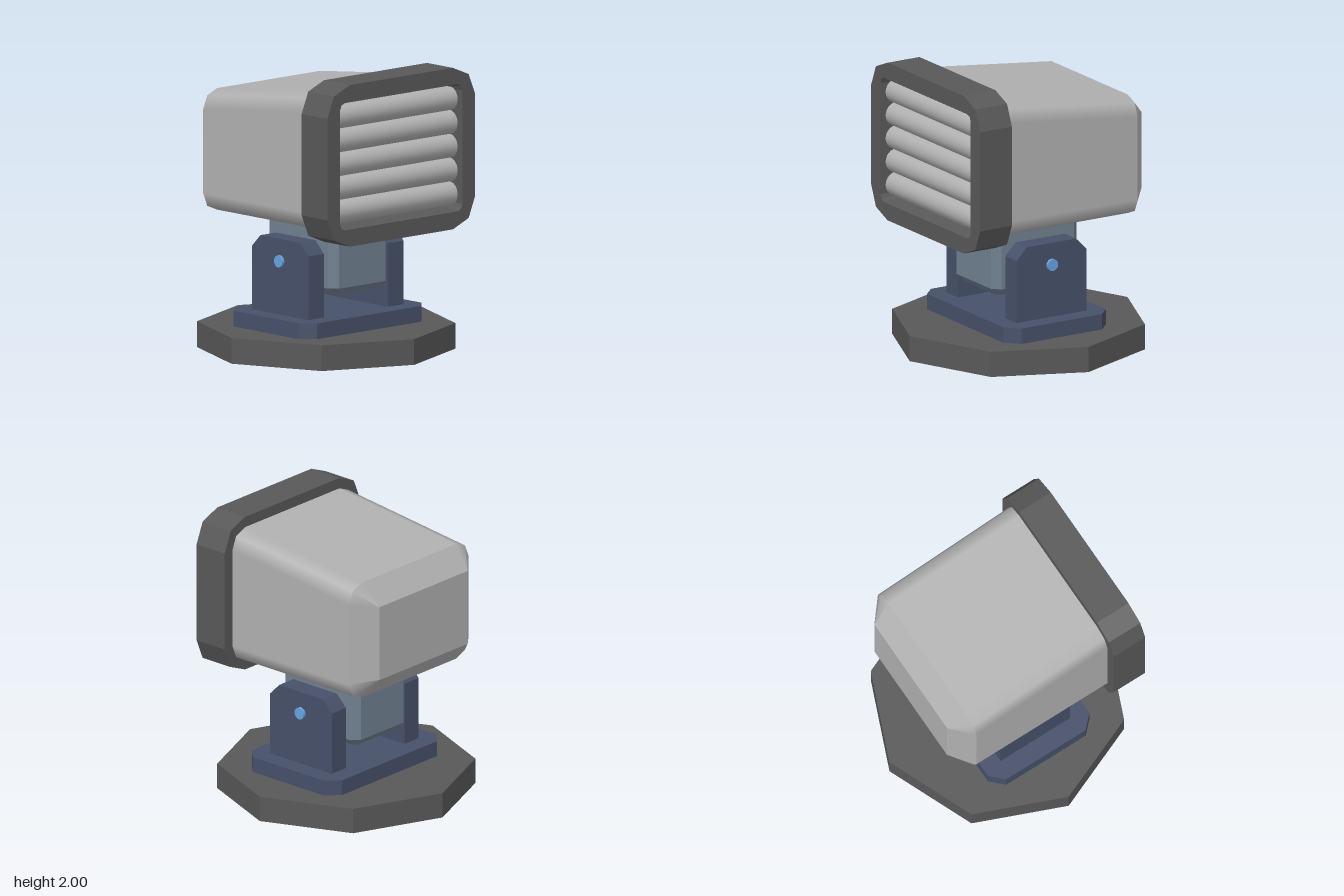
import * as THREE from 'three';

const mat = (name, color) => {
  const m = new THREE.MeshStandardMaterial({ color });
  m.name = name;
  return m;
};

// Rectangle from (x0,y0) to (x1,y1) with cut or rounded corners, counter-clockwise.
// Each point is [x, y, normalX, normalY].
function section(x0, x1, y0, y1, r, segs = 2) {
  const pts = [];
  const corners = [[x1 - r, y1 - r], [x0 + r, y1 - r], [x0 + r, y0 + r], [x1 - r, y0 + r]];
  corners.forEach(([cx, cy], k) => {
    for (let i = 0; i <= segs; i++) {
      const a = (k + i / segs) * Math.PI / 2;
      pts.push([cx + r * Math.cos(a), cy + r * Math.sin(a), Math.cos(a), Math.sin(a)]);
    }
  });
  return pts;
}

// Skin between cross-sections [{ z, pts }]; smooth rounds the corners, rims stay sharp.
function loft(rings, { smooth = false, caps = true } = {}) {
  const pos = [], nor = [];
  const n = rings[0].pts.length;
  for (let s = 0; s < rings.length - 1; s++) {
    const A = rings[s], B = rings[s + 1];
    for (let i = 0; i < n; i++) {
      const j = (i + 1) % n;
      const quad = [[A, i], [A, j], [B, j], [B, i]];
      const v = quad.map(([R, k]) => new THREE.Vector3(R.pts[k][0], R.pts[k][1], R.z));
      const flat = v[2].clone().sub(v[0]).cross(v[3].clone().sub(v[1])).normalize();
      const normals = quad.map(([R, k]) => {
        if (!smooth) return flat;
        const [, , nx, ny] = R.pts[k];
        const dx = B.pts[k][0] - A.pts[k][0], dy = B.pts[k][1] - A.pts[k][1];
        return new THREE.Vector3(nx, ny, -(nx * dx + ny * dy) / (B.z - A.z)).normalize();
      });
      for (const q of [0, 1, 2, 0, 2, 3]) {
        pos.push(...v[q].toArray());
        nor.push(...normals[q].toArray());
      }
    }
  }
  if (caps) {
    [[rings[0], -1], [rings[rings.length - 1], 1]].forEach(([R, dir]) => {
      for (let i = 1; i < n - 1; i++) {
        for (const k of dir > 0 ? [0, i, i + 1] : [0, i + 1, i]) {
          pos.push(R.pts[k][0], R.pts[k][1], R.z);
          nor.push(0, 0, dir);
        }
      }
    });
  }
  const g = new THREE.BufferGeometry();
  g.setAttribute('position', new THREE.Float32BufferAttribute(pos, 3));
  g.setAttribute('normal', new THREE.Float32BufferAttribute(nor, 3));
  return g;
}

export function createModel() {
  const group = new THREE.Group();
  const darkGrey = mat('dark grey', 0x585858);
  const lightGrey = mat('light grey', 0xb0b0b0);
  const slate = mat('slate', 0x708090);
  const navy = mat('navy', 0x465069);
  const blue = mat('blue', 0x66a3e0);

  const add = (name, geometry, material, x = 0, y = 0, z = 0) => {
    const mesh = new THREE.Mesh(geometry, material);
    mesh.name = name;
    mesh.position.set(x, y, z);
    group.add(mesh);
    return mesh;
  };
  const midZ = 0.017; // depth of the pivot

  // Octagonal base
  const base = new THREE.CylinderGeometry(0.89, 0.89, 0.18, 8).toNonIndexed();
  base.computeVertexNormals();
  add('base', base, darkGrey, 0, 0.09, 0);

  // Mounting plate with cut corners
  const plate = section(-0.58, 0.578, -0.418, 0.418, 0.09, 1);
  add('mountPlate', loft([{ z: 0.18, pts: plate }, { z: 0.29, pts: plate }]).rotateX(-Math.PI / 2),
    navy, 0, 0, midZ);

  // Yoke arms with cut top corners, and their pivot pins
  const armShape = new THREE.Shape([
    [-0.285, 0.29], [0.285, 0.29], [0.285, 0.735], [0.2, 0.82], [-0.2, 0.82], [-0.285, 0.735],
  ].map(p => new THREE.Vector2(...p)));
  const arm = new THREE.ExtrudeGeometry(armShape, { depth: 0.145, bevelEnabled: false })
    .translate(0, 0, -0.0725).rotateY(Math.PI / 2);
  const pin = new THREE.CylinderGeometry(0.042, 0.042, 0.22, 16).rotateZ(Math.PI / 2);
  for (const [side, s] of [['left', 1], ['right', -1]]) {
    add(side + 'Arm', arm, navy, s * 0.374, 0, midZ);
    add(side + 'Pin', pin, blue, s * 0.357, 0.665, midZ);
  }

  // Neck block with chamfered edges, reaching up into the housing
  const neck = section(-0.273, 0.273, -0.35, 0.35, 0.054, 1);
  const neckFoot = section(-0.22, 0.22, -0.297, 0.297, 0.03, 1);
  add('neck', loft([
    { z: 0.435, pts: neckFoot }, { z: 0.49, pts: neck }, { z: 1.0, pts: neck },
  ]).rotateX(-Math.PI / 2), slate, 0, 0, midZ);

  // Lamp housing: tapered body with a sloped rear
  add('housing', loft([
    { z: -0.715, pts: section(-0.455, 0.455, 1.105, 1.645, 0.004) },
    { z: -0.58, pts: section(-0.615, 0.615, 0.95, 1.8, 0.13) },
    { z: 0.62, pts: section(-0.615, 0.615, 0.95, 1.938, 0.13) },
  ], { smooth: true }), lightGrey);

  // Front frame with an opening
  const toVec = pts => pts.map(p => new THREE.Vector2(p[0], p[1]));
  const opening = section(-0.575, 0.575, 0.99, 1.88, 0.045);
  const frame = new THREE.Shape(toVec(section(-0.695, 0.695, 0.87, 2.0, 0.21)));
  frame.holes.push(new THREE.Path(toVec(opening)));
  add('frontFrame', new THREE.ExtrudeGeometry(frame, { depth: 0.26, bevelEnabled: false }),
    darkGrey, 0, 0, 0.5);

  // Sloped lip inside the opening
  add('frameLip', loft([
    { z: 0.759, pts: opening },
    { z: 0.62, pts: section(-0.56, 0.56, 1.015, 1.85, 0.03) },
  ], { caps: false }), darkGrey);

  // Horizontal lamp tubes
  const tube = new THREE.CylinderGeometry(0.083, 0.083, 1.12, 24).rotateZ(Math.PI / 2);
  for (let i = 0; i < 5; i++) add('lampTube' + (i + 1), tube, lightGrey, 0, 1.1 + i * 0.1665, 0.645);

  return group;
}
